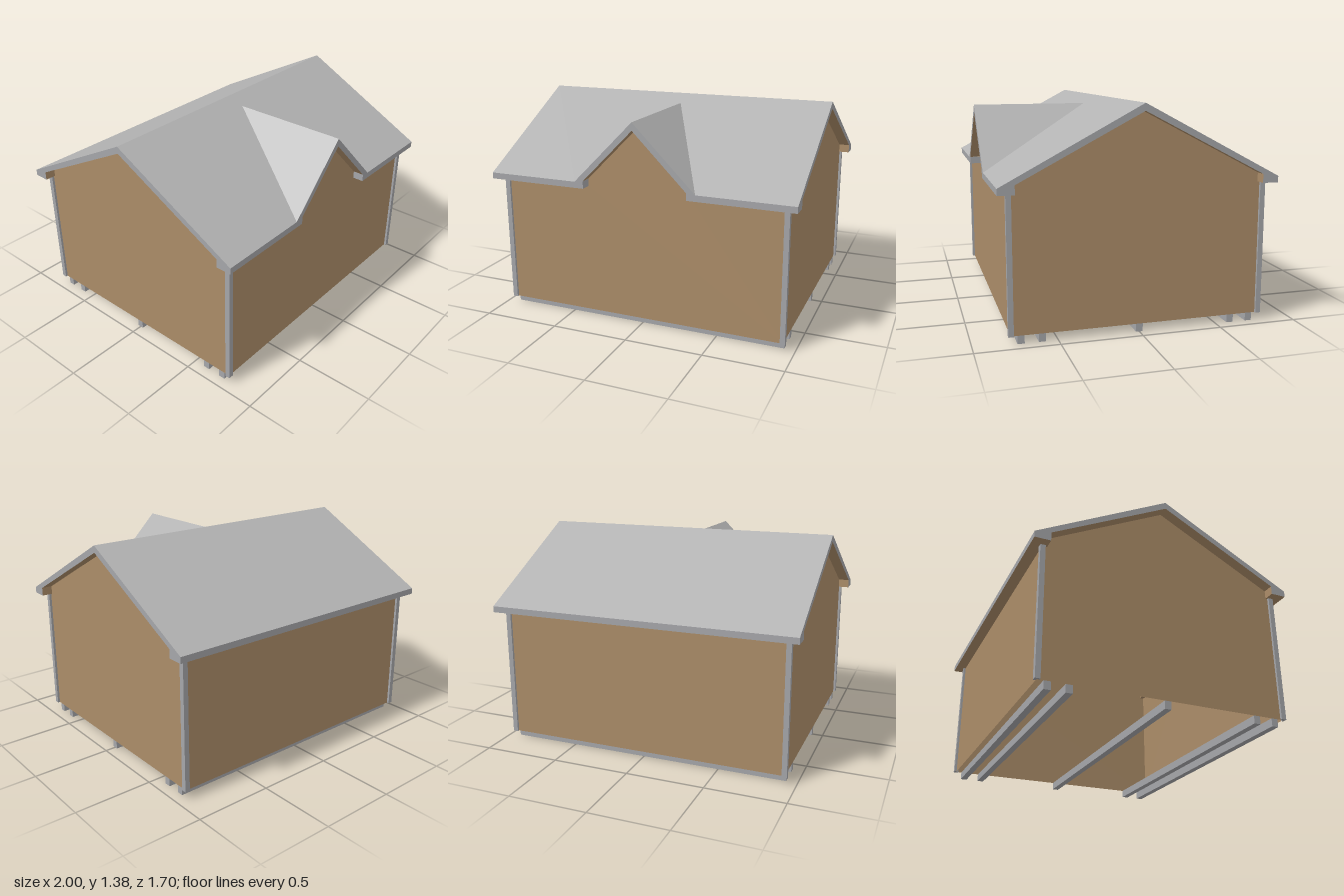
import * as THREE from 'three';

const flat = (name, color) => {
  const m = new THREE.MeshStandardMaterial({ color, side: THREE.DoubleSide });
  m.name = name;
  return m;
};

// Key heights and plan sizes
const EAVE = 0.885, EDGE = 0.9245, FLOOR = 0.05;
const WX = 0.93, WZ = 0.78;    // wall planes
const RX = 1, RZ = 0.85;       // roof overhang
const IZ = 0.75;               // inner face of the boxed eave

// Roof surfaces as heights over the plan
const mainTop = (x, z) => 1.375 - 0.53 * Math.abs(z);
const mainUnder = (x, z) => 1.33 - 0.52 * Math.abs(z);
const dormerTop = (x) => 1.322 - Math.abs(x);
const dormerUnder = (x) => 1.272 - Math.abs(x);

export function createModel() {
  const roof = flat('roof grey', 0xb2b2b2);
  const trim = flat('trim grey', 0xa5a6a9);
  const wood = flat('wall tan', 0xab8c68);
  const model = new THREE.Group();
  model.name = 'gabledShed';

  const add = (name, geometry, material) => {
    const mesh = new THREE.Mesh(geometry, material);
    mesh.name = name;
    model.add(mesh);
    return mesh;
  };

  // Flat sheet: a 2D outline carried into space by a rule
  const sheet = (name, points, place, material) => {
    const g = new THREE.ShapeGeometry(new THREE.Shape(points.map(p => new THREE.Vector2(...p))));
    const pos = g.attributes.position;
    for (let i = 0; i < pos.count; i++) pos.setXYZ(i, ...place(pos.getX(i), pos.getY(i)));
    g.computeVertexNormals();
    return add(name, g, material);
  };
  const over = (h) => (x, z) => [x, h(x, z), z];
  const atX = (x) => (z, y) => [x, y, z];
  const atZ = (z) => (x, y) => [x, y, z];
  const rect = (a, b, c, d) => [[a, b], [c, b], [c, d], [a, d]];
  const mirror = (half) => [...half, ...half.map(([a, b]) => [-a, b]).reverse()];

  // Main roof, with the front slope notched for the dormer
  sheet('backRoof', rect(-RX, -RZ, RX, 0), over(mainTop), roof);
  sheet('frontRoof', [[-RX, 0], [RX, 0], [RX, RZ], [0.3975, RZ], [0, 0.1], [-0.3975, RZ], [-RX, RZ]],
    over(mainTop), roof);
  sheet('backCeiling', rect(-RX, -IZ, RX, 0), over(mainUnder), wood);
  sheet('frontCeiling', [[-RX, 0], [RX, 0], [RX, IZ], [0.332, IZ], [0, 0.112], [-0.332, IZ], [-RX, IZ]],
    over(mainUnder), wood);

  for (const s of [-1, 1]) {
    // Dormer slopes
    sheet('dormerRoof', [[0, 0.1], [0, RZ], [s * 0.3975, RZ]], over(dormerTop), roof);
    sheet('dormerCeiling', [[0, 0.112], [0, RZ], [s * 0.342, RZ], [s * 0.332, IZ]], over(dormerUnder), wood);

    // Boxed eaves either side of the dormer
    sheet('frontSoffit', rect(s * 0.34, IZ, s * RX, RZ), over(() => EAVE), wood);
    sheet('frontEaveInner', rect(s * 0.34, EAVE, s * RX, 0.94), atZ(IZ), wood);
    sheet('frontEaveEnd', rect(IZ, EAVE, RZ, 0.932), atX(s * 0.34), trim);

    // Gable rim
    sheet('gableRim', [[RZ, EAVE], [RZ, EDGE], [0, 1.375], [-RZ, EDGE], [-RZ, EAVE],
      [-IZ, EAVE], [-IZ, 0.94], [0, 1.33], [IZ, 0.94], [IZ, EAVE]], atX(s * RX), trim);

    // Gable wall
    sheet('gableWall', [[WZ, FLOOR], [WZ, EAVE], [IZ, EAVE], [IZ, 0.94], [0, 1.33],
      [-IZ, 0.94], [-IZ, EAVE], [-WZ, EAVE], [-WZ, FLOOR]], atX(s * WX), wood);
  }

  // Back eave
  sheet('backSoffit', rect(-RX, -RZ, RX, -IZ), over(() => EAVE), wood);
  sheet('backEaveInner', rect(-RX, EAVE, RX, 0.94), atZ(-IZ), wood);
  sheet('backFascia', rect(-RX, EAVE, RX, EDGE), atZ(-RZ), trim);

  // Front fascia following the dormer gable
  sheet('frontFascia', [[-RX, EAVE], [-0.34, EAVE], [-0.34, 0.932], [0, 1.272], [0.34, 0.932],
    [0.34, EAVE], [RX, EAVE], [RX, EDGE], [0.3975, EDGE], [0, 1.322], [-0.3975, EDGE], [-RX, EDGE]],
    atZ(RZ), trim);

  // Long walls
  sheet('backWall', rect(-WX, FLOOR, WX, EAVE), atZ(-WZ), wood);
  sheet('frontWall', mirror([[WX, FLOOR], [WX, EAVE], [0.34, EAVE], [0.34, 0.932], [0.001, 1.271]]),
    atZ(WZ), wood);

  // L-shaped corner boards
  const t = 0.015, w = 0.032;
  for (const sx of [-1, 1]) for (const sz of [-1, 1]) {
    const ox = WX + t, oz = WZ + t;
    const outline = [[ox, oz], [ox - w, oz], [ox - w, WZ], [WX, WZ], [WX, oz - w], [ox, oz - w]]
      .map(([x, z]) => new THREE.Vector2(sx * x, -sz * z));
    const g = new THREE.ExtrudeGeometry(new THREE.Shape(outline), { depth: EAVE - FLOOR, bevelEnabled: false });
    g.rotateX(-Math.PI / 2).translate(0, FLOOR, 0);
    add('cornerBoard', g, trim);
  }

  // Floor skids
  for (const z of [-0.72, -0.595, 0, 0.595, 0.72]) {
    add('skid', new THREE.BoxGeometry(2 * WX, FLOOR, 0.042), trim).position.set(0, FLOOR / 2, z);
  }

  return model;
}
